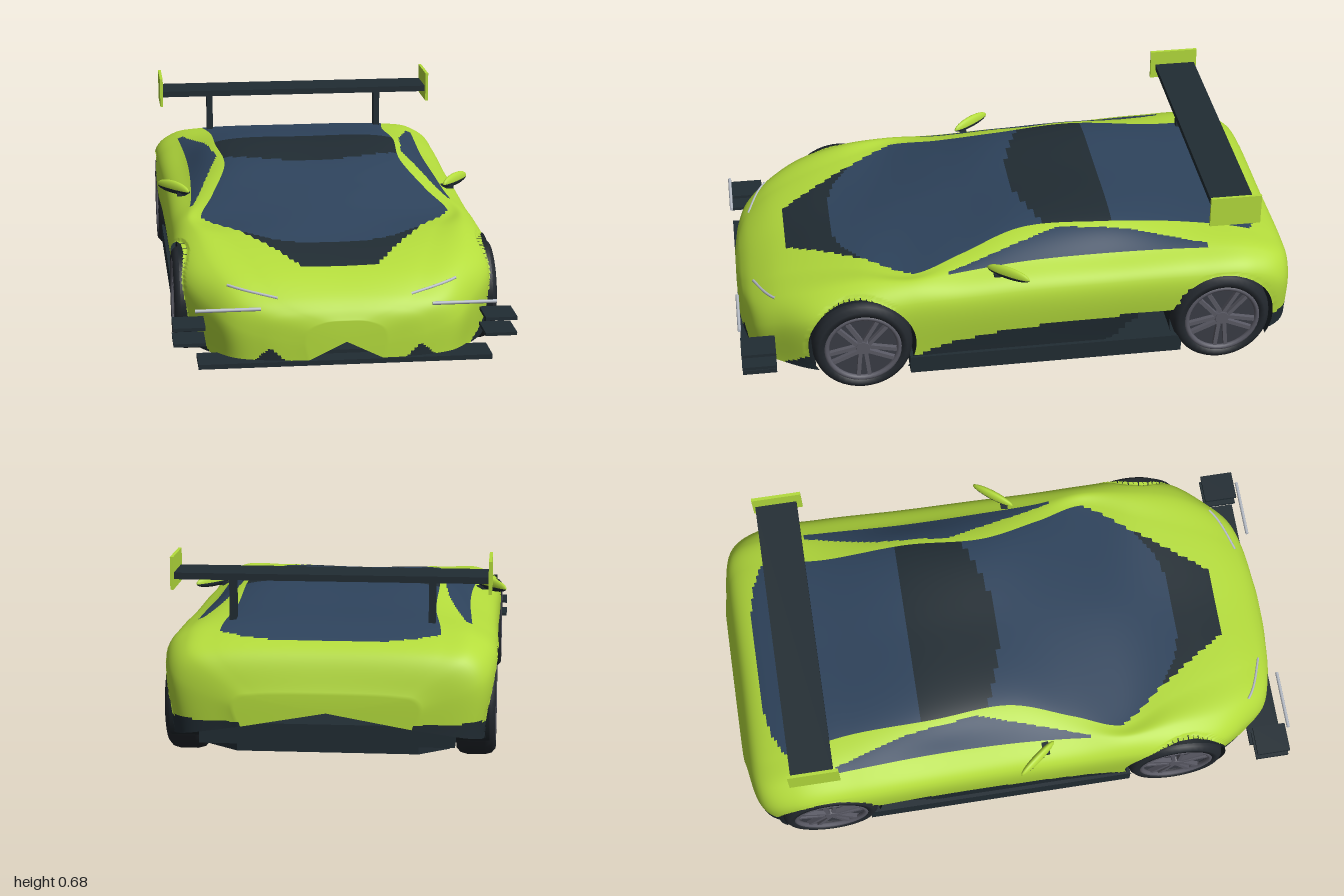
import * as THREE from 'three';

const paint = (name, color, side = THREE.FrontSide) => {
  const m = new THREE.MeshStandardMaterial({ color, side });
  m.name = name;
  return m;
};

// Body stations, front to back: z, centre height, then x,y of glass edge, shoulder, flank, sill
const STATIONS = [
  [0.985, 0.21, 0.07, 0.205, 0.12, 0.18, 0.13, 0.14, 0.12, 0.08],
  [0.965, 0.245, 0.16, 0.24, 0.25, 0.215, 0.27, 0.16, 0.26, 0.075],
  [0.93, 0.28, 0.22, 0.275, 0.335, 0.25, 0.37, 0.19, 0.36, 0.07],
  [0.85, 0.325, 0.26, 0.325, 0.39, 0.305, 0.44, 0.24, 0.43, 0.07],
  [0.73, 0.36, 0.30, 0.365, 0.44, 0.355, 0.515, 0.29, 0.50, 0.07],
  [0.56, 0.388, 0.36, 0.395, 0.465, 0.395, 0.54, 0.33, 0.53, 0.07],
  [0.38, 0.425, 0.435, 0.40, 0.485, 0.402, 0.538, 0.345, 0.525, 0.07],
  [0.20, 0.46, 0.385, 0.435, 0.465, 0.41, 0.535, 0.35, 0.52, 0.07],
  [-0.02, 0.497, 0.325, 0.487, 0.455, 0.425, 0.535, 0.36, 0.52, 0.07],
  [-0.30, 0.512, 0.34, 0.497, 0.452, 0.43, 0.537, 0.365, 0.52, 0.07],
  [-0.60, 0.478, 0.34, 0.468, 0.465, 0.432, 0.545, 0.37, 0.53, 0.07],
  [-0.82, 0.443, 0.365, 0.438, 0.475, 0.42, 0.543, 0.36, 0.53, 0.09],
  [-0.945, 0.39, 0.36, 0.385, 0.455, 0.365, 0.50, 0.30, 0.48, 0.11],
  [-1.0, 0.26, 0.22, 0.255, 0.28, 0.245, 0.30, 0.22, 0.28, 0.15],
];
const AXLES = [0.565, -0.713], WHEEL_Y = 0.178, ARCH = 0.188;
const LIME = 0, GLASS = 1, TRIM = 2, OPEN = -1;

const lerp = (x, table) => {
  for (let i = 1; i < table.length; i++) {
    const [x0, y0] = table[i - 1], [x1, y1] = table[i];
    if (x <= x1) return y0 + (y1 - y0) * Math.max(0, (x - x0) / (x1 - x0));
  }
  return table[table.length - 1][1];
};
const WINDOW_TOP = [[-0.67, 0.445], [-0.4, 0.375], [-0.15, 0.348], [0, 0.385], [0.25, 0.456]];
const SIDE_PANEL_TOP = [[-0.42, 0.23], [0.03, 0.205], [0.25, 0.165], [0.4, 0.11]];

// Which paint a patch of the body gets; f counts control lines out from the centre
function regionAt(ax, y, z, f) {
  if (ax > 0.4 && f > 2 && AXLES.some(a => Math.hypot(z - a, y - WHEEL_Y) < ARCH - 0.001)) return OPEN;
  const screenEnd = 0.64 - 0.26 * Math.pow(ax / 0.43, 2.7);
  if (f < 1 && z < screenEnd && z > -0.9 + 0.06 * Math.pow(ax / 0.36, 4)) {
    return z < -0.02 - 0.8 * ax * ax && z > -0.35 ? TRIM : GLASS;
  }
  if (z >= screenEnd && z > 0.55 && z < 0.8 && ax < 0.255 - 0.7 * (z - 0.617)) return TRIM;
  if (f > 1 && f < 1.96 && z > -0.67 && z < 0.25 && ax > lerp(z, WINDOW_TOP)) return GLASS;
  if (f > 3) {
    const slant = -0.31 - (y - 0.12);
    if (z < 0.4 && z > slant && y < lerp(z, SIDE_PANEL_TOP)) return TRIM;
    if (z <= slant && z > -0.56 && y < 0.23) return OPEN;
    if (z > 0.6 && z < 0.84 && y < 0.14 - 0.7 * Math.max(0, z - 0.74)) return TRIM;
    if (z > 0.84 && y < 0.122 - 0.9 * Math.abs(ax - 0.25)) return TRIM;
    if (z < -0.88 && y < 0.165) return TRIM;
  }
  return LIME;
}

function buildBody(materials) {
  const PER = 24, ROWS = (STATIONS.length - 1) * 14, COLS = 8 * PER;
  const lines = [0, 1, 2, 3, 4].map(k => new THREE.CatmullRomCurve3(
    STATIONS.map(s => new THREE.Vector3(k ? s[2 * k] : 0, k ? s[2 * k + 1] : s[1], s[0]))));
  const pos = [], lists = [[], [], []];
  for (let i = 0; i <= ROWS; i++) {
    const half = lines.map(l => l.getPoint(i / ROWS));
    const mirror = half.slice(1).reverse().map(p => new THREE.Vector3(-p.x, p.y, p.z));
    const section = new THREE.CatmullRomCurve3([...mirror, ...half]);
    for (let j = 0; j <= COLS; j++) {
      const p = section.getPoint(j / COLS);
      // pull nearby points onto the wheel arch circle for a clean edge
      if (Math.abs(p.x) > 0.4) for (const a of AXLES) {
        const dz = p.z - a, dy = p.y - WHEEL_Y, d = Math.hypot(dz, dy);
        if (Math.abs(d - ARCH) < 0.008) { p.z = a + dz * ARCH / d; p.y = WHEEL_Y + dy * ARCH / d; }
      }
      pos.push(p.x, p.y, p.z);
    }
  }
  const W = COLS + 1;
  for (let i = 0; i < ROWS; i++) for (let j = 0; j < COLS; j++) {
    const a = i * W + j, b = a + 1, c = a + W, d = c + 1;
    const mid = k => (pos[3 * a + k] + pos[3 * b + k] + pos[3 * c + k] + pos[3 * d + k]) / 4;
    const r = regionAt(Math.abs(mid(0)), mid(1), mid(2), Math.abs(j + 0.5 - COLS / 2) / PER);
    if (r !== OPEN) lists[r].push(a, b, c, b, d, c);
  }
  // nose and tail caps
  const nose = pos.length / 3, tail = nose + 1, last = ROWS * W;
  pos.push(0, 0.14, 0.987, 0, 0.2, -1.0);
  for (let j = 0; j < COLS; j++) {
    lists[LIME].push(nose, j + 1, j, tail, last + j, last + j + 1);
  }
  const g = new THREE.BufferGeometry();
  g.setAttribute('position', new THREE.Float32BufferAttribute(pos, 3));
  g.setIndex(lists.flat());
  let start = 0;
  lists.forEach((l, m) => { g.addGroup(start, l.length, m); start += l.length; });
  g.computeVertexNormals();
  return new THREE.Mesh(g, materials);
}

export function createModel() {
  const car = new THREE.Group();
  const lime = paint('lime paint', 0xb4dc3c), glass = paint('blue glass', 0x2e435c);
  const trim = paint('black trim', 0x212c33), liner = paint('arch liner', 0x1a2126, THREE.DoubleSide);
  const rubber = paint('tyre rubber', 0x23282e), rimDark = paint('dark rim', 0x3a3c45);
  const rim = paint('grey rim', 0x5a5a65), lamp = paint('lamp', 0xb8bec8);
  const add = (name, geo, mat, x = 0, y = 0, z = 0, parent = car) => {
    const m = new THREE.Mesh(geo, mat);
    m.name = name;
    m.position.set(x, y, z);
    parent.add(m);
    return m;
  };
  const box = (name, mat, w, h, d, x, y, z, parent) => add(name, new THREE.BoxGeometry(w, h, d), mat, x, y, z, parent);

  const body = buildBody([lime, glass, trim]);
  body.name = 'body';
  car.add(body);

  // Floor pan with chamfered ends
  const outline = new THREE.Shape([[-0.3, -0.93], [0.3, -0.93], [0.4, -0.85], [0.4, 0.8], [0.3, 0.92],
    [-0.3, 0.92], [-0.4, 0.8], [-0.4, -0.85]].map(p => new THREE.Vector2(p[0], -p[1])));
  const floor = new THREE.ExtrudeGeometry(outline, { depth: 0.04, bevelEnabled: false }).rotateX(-Math.PI / 2);
  add('floor', floor, trim, 0, 0.05, 0);
  box('frontSplitter', trim, 0.97, 0.016, 0.12, 0, 0.07, 0.927);
  box('rearDiffuser', trim, 0.84, 0.07, 0.09, 0, 0.12, -0.925);

  // Rear wing
  box('wingBlade', trim, 1.05, 0.022, 0.15, 0, 0.612, -0.745);

  const ray = new THREE.Raycaster();
  for (const s of [1, -1]) {
    box('wingEndPlate', lime, 0.011, 0.11, 0.178, s * 0.525, 0.622, -0.74);
    box('wingStrut', trim, 0.023, 0.17, 0.04, s * 0.333, 0.525, -0.735);
    box('sideSkirt', trim, 0.14, 0.065, 0.97, s * 0.467, 0.082, -0.085);
    for (const y of [0.147, 0.2]) box('canard', trim, 0.105, 0.011, 0.12, s * 0.513, y, 0.927);
    const strip = add('lightStrip', new THREE.CylinderGeometry(0.006, 0.006, 0.213, 10), lamp, s * 0.388, 0.262, 0.987);
    strip.rotation.z = Math.PI / 2;

    // Slim headlamp laid on the nose surface
    const path = [];
    for (let i = 0; i <= 8; i++) {
      const x = 0.22 + 0.02 * i, y = 0.278 + 0.0035 * i;
      ray.set(new THREE.Vector3(s * x, y, 2), new THREE.Vector3(0, 0, -1));
      const hit = ray.intersectObject(body)[0];
      if (hit && hit.point.z > 0.7) path.push(hit.point);
    }
    if (path.length > 2) add('headlamp', new THREE.TubeGeometry(new THREE.CatmullRomCurve3(path), 24, 0.005, 8), lamp);

    // Door mirror: painted cap over a black base
    const mirror = new THREE.Group();
    mirror.name = 'doorMirror';
    mirror.position.set(s * 0.517, 0.425, 0.05);
    mirror.rotation.y = s * 0.9;
    const cap = add('mirrorCap', new THREE.SphereGeometry(1, 24, 8, 0, Math.PI * 2, 0, Math.PI / 2), lime, 0, 0, 0, mirror);
    cap.scale.set(0.086, 0.028, 0.015);
    const base = add('mirrorBase', new THREE.SphereGeometry(1, 24, 8, 0, Math.PI * 2, Math.PI / 2, Math.PI / 2), trim, 0, 0, 0, mirror);
    base.scale.set(0.084, 0.018, 0.015);
    car.add(mirror);
    box('mirrorStalk', trim, 0.06, 0.012, 0.025, s * 0.475, 0.412, 0.085);

    for (const z of AXLES) {
      // Wheel arch liner
      const tunnel = new THREE.CylinderGeometry(ARCH, ARCH, 0.145, 40, 1, true, -0.5, Math.PI + 1);
      add('archLiner', tunnel.rotateZ(Math.PI / 2), liner, s * 0.457, WHEEL_Y, z);
      const wall = new THREE.CircleGeometry(ARCH, 40, -0.5, Math.PI + 1);
      add('archWall', wall.rotateY(Math.PI / 2), liner, s * 0.385, WHEEL_Y, z);

      // Wheel, built along its axle
      const wheel = new THREE.Group();
      wheel.name = 'wheel';
      wheel.position.set(s * 0.484, WHEEL_Y, z);
      wheel.rotation.z = -s * Math.PI / 2;
      const profile = [[0.125, -0.063], [0.155, -0.065], [0.17, -0.052], [0.176, -0.03], [0.176, 0.03],
        [0.17, 0.052], [0.155, 0.065], [0.135, 0.063], [0.13, 0.04]].map(p => new THREE.Vector2(...p));
      add('tyre', new THREE.LatheGeometry(profile, 40), rubber, 0, 0, 0, wheel);
      add('rimBarrel', new THREE.CylinderGeometry(0.131, 0.131, 0.1, 40), rimDark, 0, -0.008, 0, wheel);
      const ring = add('rimRing', new THREE.TorusGeometry(0.128, 0.01, 8, 40), rim, 0, 0.055, 0, wheel);
      ring.rotation.x = Math.PI / 2;
      add('hub', new THREE.CylinderGeometry(0.024, 0.03, 0.02, 20), rim, 0, 0.05, 0, wheel);
      for (let k = 0; k < 5; k++) {
        const spoke = new THREE.Group();
        spoke.name = 'spoke';
        spoke.rotation.y = k * Math.PI * 2 / 5;
        for (const t of [-1, 1]) {
          box('spokeArm', rim, 0.11, 0.016, 0.014, 0.073, 0.05, t * 0.015, spoke).rotation.y = -t * 0.1;
        }
        wheel.add(spoke);
      }
      car.add(wheel);
    }
  }
  return car;
}
